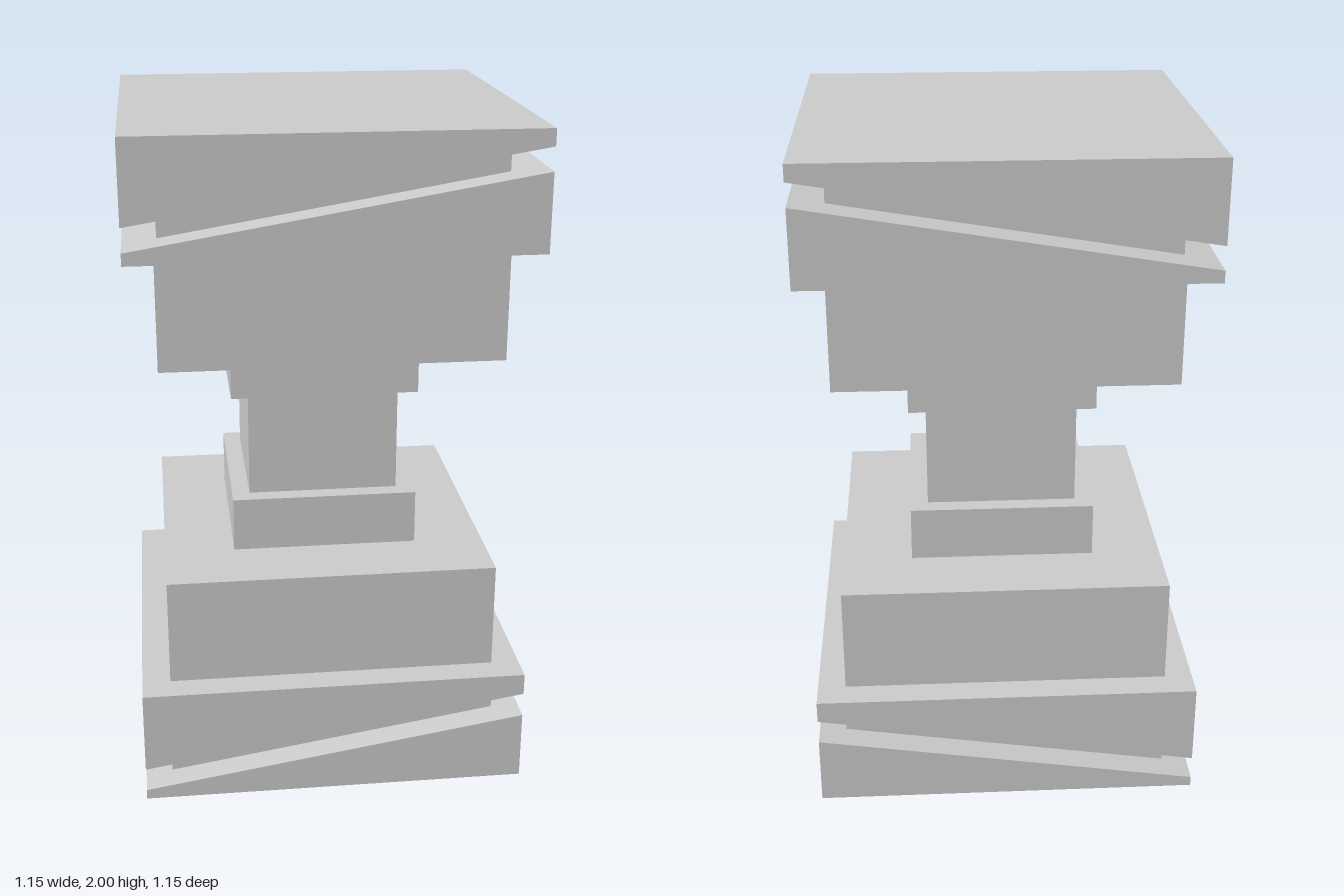
import * as THREE from 'three';

const HALF = 0.575; // half width of the widest blocks

export function createModel() {
  const model = new THREE.Group();
  const material = new THREE.MeshStandardMaterial({ color: 0xcccccc, flatShading: true });

  const add = (name, geometry) => {
    const mesh = new THREE.Mesh(geometry, material);
    mesh.name = name;
    model.add(mesh);
    return mesh;
  };

  // Square block between two heights
  const block = (name, half, y0, y1) => {
    add(name, new THREE.BoxGeometry(half * 2, y1 - y0, half * 2)).position.y = (y0 + y1) / 2;
  };

  // Square prism whose bottom and top each slope along x
  const wedge = (name, half, bottomL, bottomR, topL, topR) => {
    const shape = new THREE.Shape([
      new THREE.Vector2(-half, bottomL),
      new THREE.Vector2(half, bottomR),
      new THREE.Vector2(half, topR),
      new THREE.Vector2(-half, topL),
    ]);
    const geometry = new THREE.ExtrudeGeometry(shape, { depth: half * 2, bevelEnabled: false });
    geometry.translate(0, 0, -half);
    add(name, geometry);
  };

  // Block split by a slanted groove around a narrower core.
  // low and high are [left, right] heights of the groove's two faces.
  const splitBlock = (name, y0, y1, low, high, coreHalf) => {
    const at = ([l, r], x) => l + (r - l) * (x + HALF) / (2 * HALF);
    wedge(name + 'LowerWedge', HALF, y0, y0, ...low);
    wedge(name + 'Core', coreHalf, at(low, -coreHalf), at(low, coreHalf),
      at(high, -coreHalf), at(high, coreHalf));
    wedge(name + 'UpperWedge', HALF, ...high, y1, y1);
  };

  splitBlock('base', 0, 0.353, [0.03, 0.212], [0.103, 0.287], 0.495);
  splitBlock('cap', 1.66, 2, [1.695, 1.885], [1.763, 1.952], 0.481);

  // Stepped pillar between base and cap
  block('lowerPlinth', 0.491, 0.353, 0.677);
  block('lowerCollar', 0.28, 0.677, 0.842);
  block('shaft', 0.227, 0.842, 1.17);
  block('upperCollar', 0.28, 1.17, 1.333);
  block('upperPlinth', 0.491, 1.333, 1.66);

  return model;
}
